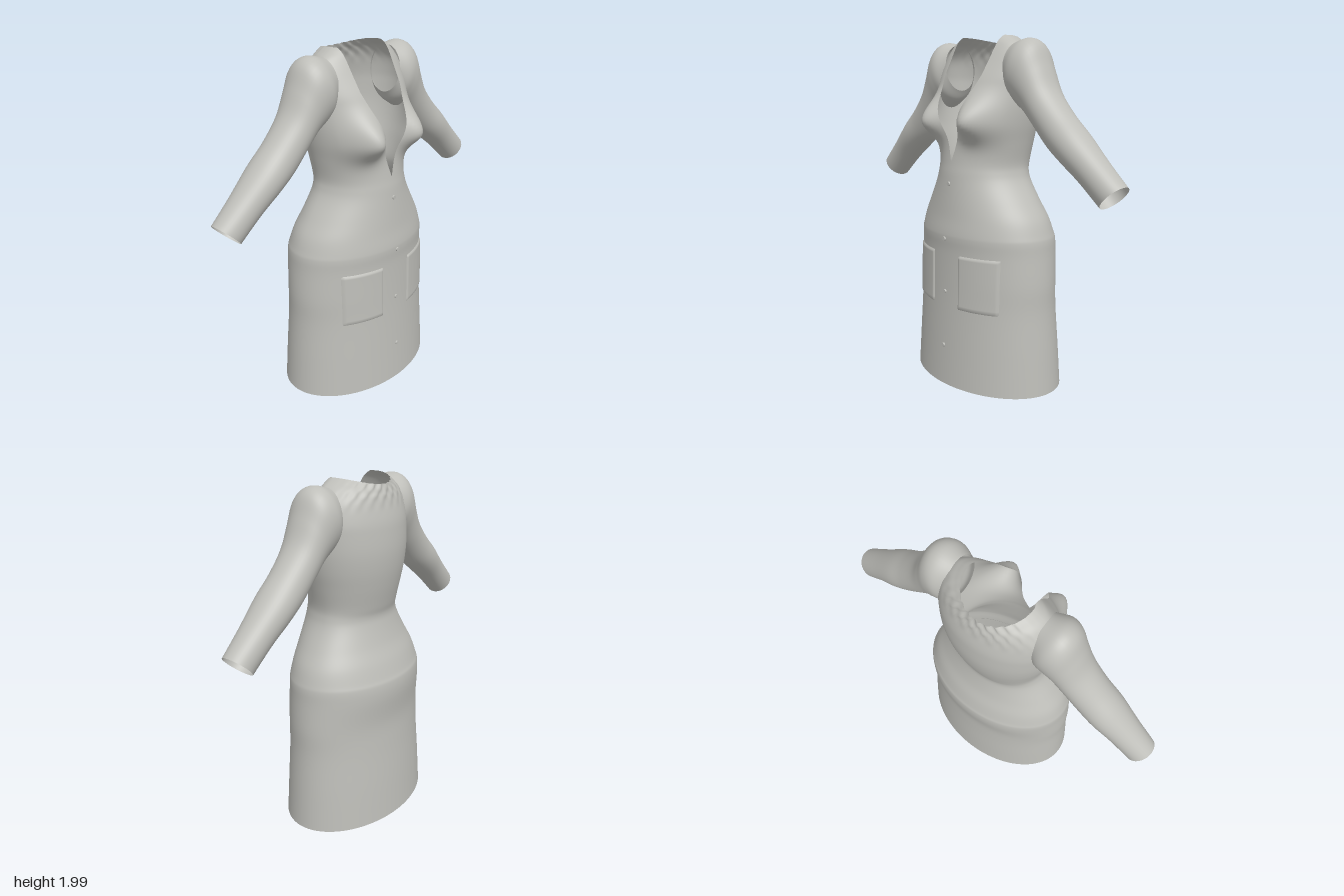
import * as THREE from 'three';
import { mergeVertices } from 'three/addons/utils/BufferGeometryUtils.js';

const V = (x, y, z) => new THREE.Vector3(x, y, z);

// Smooth surface over an (n+1) x (m+1) grid; point(i, j) with i, j from 0 to 1
function grid(n, m, point, flip = false) {
  const pos = [], idx = [];
  for (let i = 0; i <= n; i++)
    for (let j = 0; j <= m; j++) pos.push(...point(i / n, j / m).toArray());
  for (let i = 0; i < n; i++)
    for (let j = 0; j < m; j++) {
      const a = i * (m + 1) + j, b = a + 1, d = a + m + 1, c = d + 1;
      idx.push(...(flip ? [a, c, b, a, d, c] : [a, b, c, a, c, d]));
    }
  let g = new THREE.BufferGeometry();
  g.setAttribute('position', new THREE.Float32BufferAttribute(pos, 3));
  g.setIndex(idx);
  g = mergeVertices(g, 1e-4);
  g.computeVertexNormals();
  return g;
}

// Body sections: height, half width, front depth, back depth
const sections = [
  [0, 0.515, 0.35, 0.345], [0.23, 0.5, 0.337, 0.33], [0.46, 0.484, 0.325, 0.312],
  [0.62, 0.482, 0.32, 0.305], [0.78, 0.47, 0.318, 0.32], [0.86, 0.465, 0.322, 0.318],
  [0.9, 0.455, 0.32, 0.305], [0.98, 0.425, 0.308, 0.277], [1.07, 0.37, 0.298, 0.238],
  [1.17, 0.308, 0.287, 0.207], [1.23, 0.284, 0.28, 0.197], [1.29, 0.279, 0.27, 0.21],
  [1.4, 0.3, 0.255, 0.234], [1.5, 0.322, 0.245, 0.25], [1.6, 0.336, 0.235, 0.256],
  [1.7, 0.34, 0.22, 0.25], [1.77, 0.338, 0.2, 0.24], [1.86, 0.32, 0.15, 0.215],
  [1.93, 0.27, 0.115, 0.2], [1.965, 0.22, 0.1, 0.192], [1.985, 0.185, 0.09, 0.187],
];
const LAST = sections.length - 1;
const spline = (pts) => new THREE.CatmullRomCurve3(pts, false, 'catmullrom', 0.5);
const shapeCurve = spline(sections.map(([, w, f, b]) => V(w, f, b)));
const heightCurve = spline(sections.map(([y]) => V(0, y, 0)));

// Half width of the front neckline at height y
function opening(y) {
  if (y <= 1.2901) return 0;
  return y < 1.77 ? 0.16 * (y - 1.29) / 0.48 : 0.16 + 0.015 * (y - 1.77) / 0.215;
}

// Point on the garment at section parameter u and angle t (0 = front, towards +x)
function bodyPoint(u, t) {
  const { x: w, y: f, z: b } = shapeCurve.getPoint(u);
  let y = heightCurve.getPoint(u).y;
  const x = w * Math.sin(t), c = Math.cos(t);
  let z = c * (c > 0 ? f : b);
  if (c > 0) {
    // bust
    const dx = (Math.abs(x) - 0.175) / 0.1, dy = (y - 1.515) / (y > 1.515 ? 0.135 : 0.095);
    z += 0.135 * Math.exp(-dx * dx - dy * dy) * Math.min(1, c * 2.2);
  } else {
    // gathers and dip at the back of the neck
    const k = THREE.MathUtils.smoothstep(y, 1.8, 1.9);
    z += 0.006 * k * c * Math.sin(t * 26) * Math.sin(y * 55);
    y -= 0.035 * c * c * THREE.MathUtils.smoothstep(y, 1.86, 1.985);
  }
  return V(x, y, z);
}

function bodyGeometry() {
  return grid(LAST * 6, 112, (u, v) => {
    const y = heightCurve.getPoint(u).y, w = shapeCurve.getPoint(u).x;
    const start = Math.asin(Math.min(1, opening(y) / w));
    return bodyPoint(u, start + v * 2 * (Math.PI - start));
  });
}

// Sleeve sections from cuff to shoulder: upper x, y, lower x, y, half depth
const sleeve = [
  [1.0, 1.235, 0.877, 1.112, 0.083], [0.87, 1.353, 0.745, 1.225, 0.095],
  [0.738, 1.481, 0.63, 1.31, 0.112], [0.63, 1.58, 0.53, 1.385, 0.113],
  [0.53, 1.695, 0.43, 1.49, 0.118], [0.47, 1.818, 0.36, 1.56, 0.128],
  [0.42, 1.925, 0.3, 1.6, 0.142], [0.353, 1.963, 0.26, 1.63, 0.142],
  [0.26, 1.945, 0.23, 1.68, 0.11],
];
const upper = spline(sleeve.map(([x, y]) => V(x, y, 0)));
const lower = spline(sleeve.map(([, , x, y, r]) => V(x, y, r)));

function sleeveGeometry(side) {
  return grid(48, 40, (u, v) => {
    const a = v * Math.PI * 2, p = upper.getPoint(u), q = lower.getPoint(u);
    const k = (1 + Math.cos(a)) / 2;
    return V(side * (q.x + (p.x - q.x) * k), q.y + (p.y - q.y) * k, q.z * Math.sin(a));
  }, side > 0);
}

// Patch pocket following the skirt, its edges sunk to the cloth
function pocketGeometry(side) {
  return grid(24, 24, (i, j) => {
    const u = (2 + i * 2) / LAST, w = shapeCurve.getPoint(u).x;
    const x = side * 0.23 + (j - 0.5) * 0.25;
    const p = bodyPoint(u, Math.asin(x / w));
    const edge = Math.min(i, 1 - i, j, 1 - j);
    p.z += edge < 0.01 ? -0.004 : 0.008;
    return p;
  });
}

export function createModel() {
  const cloth = new THREE.MeshStandardMaterial({ color: 0xbebeb9, side: THREE.DoubleSide });
  cloth.name = 'grey cloth';
  const model = new THREE.Group();
  model.name = 'dress';
  const add = (name, geometry) => {
    const mesh = new THREE.Mesh(geometry, cloth);
    mesh.name = name;
    model.add(mesh);
    return mesh;
  };

  add('bodiceAndSkirt', bodyGeometry());
  for (const side of [1, -1]) {
    const label = side > 0 ? 'left' : 'right';
    add(label + 'Sleeve', sleeveGeometry(side));
    add(label + 'Pocket', pocketGeometry(side));
  }

  // Front buttons
  const button = new THREE.CylinderGeometry(0.011, 0.013, 0.012, 16).rotateX(Math.PI / 2);
  for (const [y, z] of [[1.17, 0.288], [0.86, 0.323], [0.55, 0.323], [0.23, 0.338]])
    add('button', button).position.set(0, y, z);

  return model;
}
